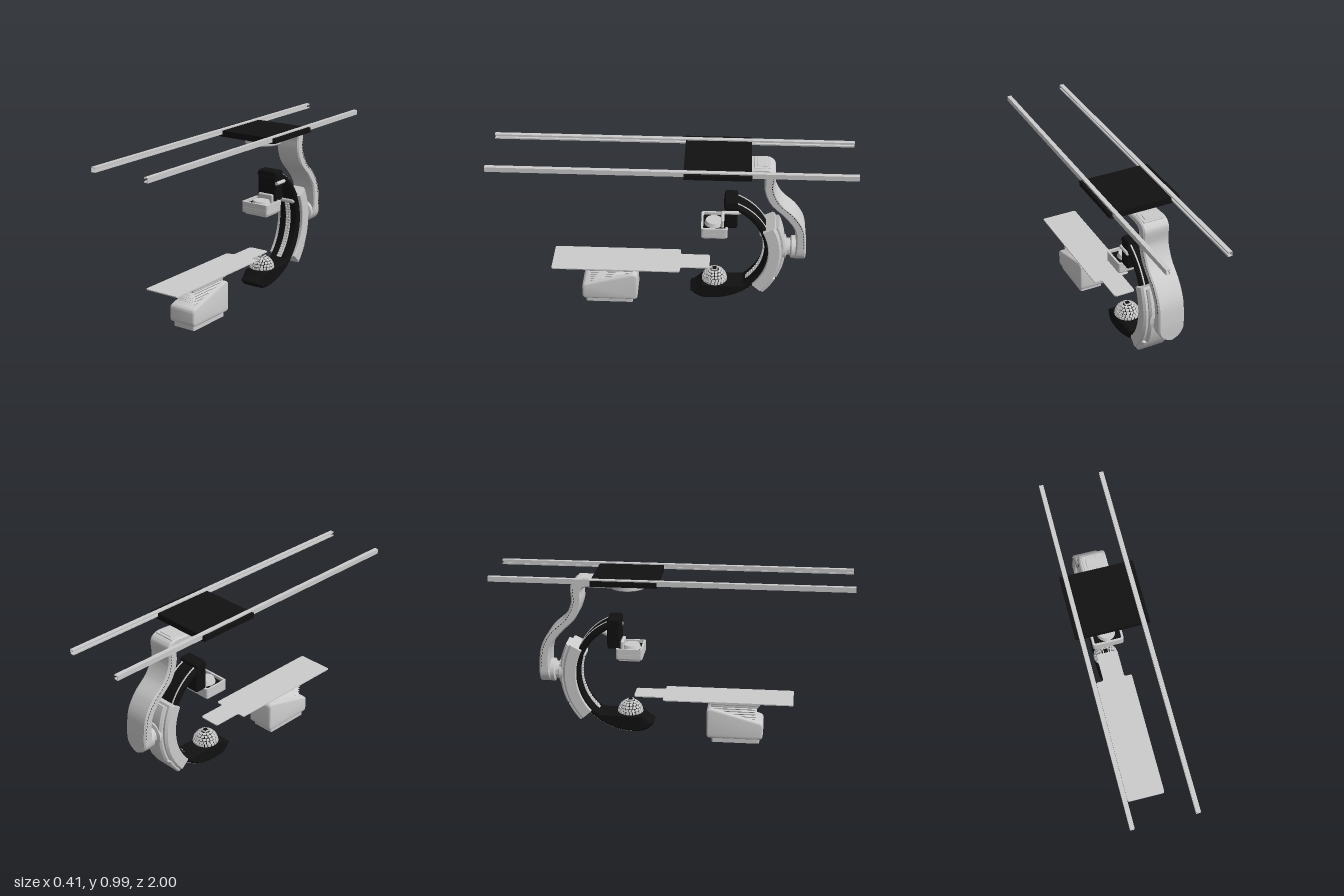
import * as THREE from 'three';
import { toCreasedNormals } from 'three/addons/utils/BufferGeometryUtils.js';
import { RoundedBoxGeometry } from 'three/addons/geometries/RoundedBoxGeometry.js';

const grey = new THREE.MeshStandardMaterial({ color: 0xcccccc });
const black = new THREE.MeshStandardMaterial({ color: 0x111111 });
const V2 = (a) => new THREE.Vector2(a[0], a[1]);

function add(parent, name, geo, mat = grey, x = 0, y = 0, z = 0) {
  const m = new THREE.Mesh(geo, mat);
  m.name = name;
  m.position.set(x, y, z);
  parent.add(m);
  return m;
}
const box = (w, h, d, r = 0) => r ? new RoundedBoxGeometry(w, h, d, 3, r) : new THREE.BoxGeometry(w, h, d);
const cyl = (r1, r2, h) => new THREE.CylinderGeometry(r1, r2, h, 40);

// Rounded rectangle in plan, centred on the origin
function roundRect(w, d, r, T = THREE.Shape) {
  const s = new T(), a = w / 2, b = d / 2;
  s.moveTo(-a + r, -b);
  s.lineTo(a - r, -b).quadraticCurveTo(a, -b, a, -b + r);
  s.lineTo(a, b - r).quadraticCurveTo(a, b, a - r, b);
  s.lineTo(-a + r, b).quadraticCurveTo(-a, b, -a, b - r);
  s.lineTo(-a, -b + r).quadraticCurveTo(-a, -b, -a + r, -b);
  return s;
}
// Plan shape (x, -z) raised along y
const plan = (shape, h) => new THREE.ExtrudeGeometry(shape, { depth: h, bevelEnabled: false, curveSegments: 8 }).rotateX(-Math.PI / 2);

// Chamfered band along rows of [outer z, outer y, inner z, inner y, half width]
function ribbon(rows, chamfer) {
  const pos = [], idx = [], N = 8;
  for (const [zo, yo, zi, yi, w] of rows) {
    const L = Math.hypot(zi - zo, yi - yo), c = Math.min(chamfer, L / 3, w / 3);
    const ring = [[w - c, 0], [w, c], [w, L - c], [w - c, L], [c - w, L], [-w, L - c], [-w, c], [c - w, 0]];
    for (const [x, s] of ring) pos.push(x, yo + (yi - yo) * s / L, zo + (zi - zo) * s / L);
  }
  const last = (rows.length - 1) * N;
  for (let i = 0; i < last; i += N) for (let j = 0; j < N; j++) {
    const k = (j + 1) % N;
    idx.push(i + j, i + k, i + N + k, i + j, i + N + k, i + N + j);
  }
  for (let j = 1; j < N - 1; j++) idx.push(0, j + 1, j, last, last + j, last + j + 1);
  const g = new THREE.BufferGeometry();
  g.setAttribute('position', new THREE.Float32BufferAttribute(pos, 3));
  g.setIndex(idx);
  return toCreasedNormals(g, 0.5);
}

// Position on the C ring; angle in degrees above the rear direction
const CZ = -0.22, CY = 0.385;
const onRing = (r, deg) => {
  const a = deg * Math.PI / 180;
  return [CZ - r * Math.cos(a), CY + r * Math.sin(a)];
};
function arcBand(a0, a1, ro, ri, w, chamfer, steps = 48) {
  const rows = [];
  for (let i = 0; i <= steps; i++) {
    const d = a0 + (a1 - a0) * i / steps, f = (v) => typeof v === 'function' ? v(d) : v;
    rows.push([...onRing(f(ro), d), ...onRing(f(ri), d), f(w)]);
  }
  return ribbon(rows, chamfer);
}

function ceilingMount(g) {
  // C-section rails, open towards the middle
  for (const s of [-1, 1]) {
    const rail = new THREE.Group();
    rail.name = 'ceilingRail';
    add(rail, 'railWeb', box(0.004, 0.028, 2), grey, s * 0.182, 0.971);
    for (const y of [0.959, 0.983]) add(rail, 'railFlange', box(0.024, 0.004, 2), grey, s * 0.172, y);
    for (const y of [0.963, 0.979]) add(rail, 'railLip', box(0.003, 0.006, 2), grey, s * 0.1615, y);
    g.add(rail);
  }
  // Slotted carriage
  const half = [[0.16, 0.945], [0.205, 0.952], [0.205, 0.98], [0.188, 0.98], [0.188, 0.956], [0.156, 0.956], [0.156, 0.98]];
  const pts = [...half, ...half.slice().reverse().map(([x, y]) => [-x, y])].map(V2);
  add(g, 'carriage', new THREE.ExtrudeGeometry(new THREE.Shape(pts), { depth: 0.365, bevelEnabled: false }), black, 0, 0, -0.432);
  // Swivel disc
  const disc = [[0, 0], [0.097, 0], [0.105, 0.006], [0.105, 0.036], [0.099, 0.042], [0.07, 0.042], [0.07, 0.055], [0, 0.055]].map(V2);
  add(g, 'swivelDisc', toCreasedNormals(new THREE.LatheGeometry(disc, 48), 0.5), grey, 0, 0.895, -0.25);
  add(g, 'swivelCap', cyl(0.065, 0.065, 0.006), grey, 0, 0.893, -0.25);
}

function supportArm(g) {
  const curve = (a) => new THREE.CatmullRomCurve3(a.map(([z, y]) => new THREE.Vector3(0, y, z)));
  const outer = curve([[-0.27, 0.942], [-0.42, 0.942], [-0.53, 0.942], [-0.563, 0.915], [-0.565, 0.81], [-0.607, 0.72], [-0.69, 0.64], [-0.74, 0.556], [-0.757, 0.44], [-0.757, 0.32]]);
  const inner = curve([[-0.27, 0.903], [-0.42, 0.903], [-0.485, 0.903], [-0.505, 0.885], [-0.507, 0.81], [-0.542, 0.72], [-0.633, 0.625], [-0.687, 0.545], [-0.7, 0.44], [-0.692, 0.32]]);
  const rows = [], n = 126;
  for (let i = 0; i <= n; i++) {
    const o = outer.getPoint(i / n), p = inner.getPoint(i / n);
    const drop = Math.max(0, 0.395 - o.y); // rounded lower end
    rows.push([o.z, o.y, p.z, p.y, Math.max(0.012, Math.sqrt(Math.max(0, 0.075 ** 2 - drop ** 2)))]);
  }
  add(g, 'supportArm', ribbon(rows, 0.008));
  // Dashed seam on both sides
  for (let i = 0; i < 30; i++) {
    const t = 0.36 + i * 0.0185, p = outer.getPoint(t).lerp(inner.getPoint(t), 0.25), q = outer.getTangent(t);
    for (const x of [-0.075, 0.075]) {
      add(g, 'seamDash', box(0.001, 0.003, 0.01), black, x, p.y, p.z).rotation.x = -Math.atan2(q.y, q.z);
    }
  }
  add(g, 'armCover', box(0.12, 0.008, 0.09, 0.003), grey, 0, 0.944, -0.49);
  add(g, 'armCoverCap', box(0.085, 0.008, 0.06, 0.003), grey, 0, 0.948, -0.49);
  // Pivot between the arm and the ring carrier
  const pivot = [[0, 0], [0.07, 0], [0.07, 0.02], [0.05, 0.026], [0.05, 0.045], [0.066, 0.052], [0.066, 0.08], [0, 0.08]].map(V2);
  add(g, 'pivot', toCreasedNormals(new THREE.LatheGeometry(pivot, 40), 0.5).rotateX(-Math.PI / 2), grey, 0, 0.385, -0.625);
}

function ringArm(g) {
  // Dark C-shaped arm swelling into a scoop at the foot
  const ro = (d) => d < -95 ? 0.345 - 0.027 * ((-95 - d) / 16) ** 2 : 0.345;
  const ri = (d) => {
    if (d > -45) return 0.305;
    const flat = Math.min(0.305, 0.24 / Math.abs(Math.sin(d * Math.PI / 180)));
    return d < -101 ? 0.245 + 0.066 * (-101 - d) / 10 : flat;
  };
  const w = (d) => d < -95 ? 0.066 - 0.014 * ((-95 - d) / 16) ** 2 : 0.066;
  add(g, 'cArm', arcBand(77, -111, ro, ri, w, 0.012, 94), black);
  for (const x of [-0.045, 0.045]) add(g, 'cArmTrack', arcBand(74, -92, 0.349, 0.34, 0.004, 0.001, 70), grey, x);
  // Carrier gripping the ring
  add(g, 'ringCarrier', arcBand(27, -42, 0.4, 0.343, 0.09, 0.012));
  for (const x of [-0.079, 0.079]) add(g, 'carrierCheek', arcBand(27, -42, 0.36, 0.325, 0.011, 0.004), grey, x);
  add(g, 'carrierPad', arcBand(25, -25, 0.422, 0.39, 0.066, 0.012));
  add(g, 'carrierLip', arcBand(-26, -42, 0.415, 0.39, 0.08, 0.008));
  // Inner belt with two rows of links
  add(g, 'belt', arcBand(22, -48, 0.308, 0.302, 0.016, 0.001));
  for (let d = 20; d >= -47; d -= 3.2) {
    const [z, y] = onRing(0.3, d);
    for (const x of [-0.008, 0.008]) add(g, 'beltLink', box(0.012, 0.012, 0.008, 0.003), grey, x, y, z).rotation.x = d * Math.PI / 180;
  }
  const [rz, ry] = onRing(0.308, 21);
  add(g, 'beltRoller', new THREE.CapsuleGeometry(0.015, 0.08, 6, 16).rotateZ(Math.PI / 2), grey, 0, ry, rz);
}

function detector(g) {
  add(g, 'headBlock', box(0.13, 0.178, 0.074, 0.012), black, 0, 0.633, -0.329);
  add(g, 'headRod', cyl(0.011, 0.011, 0.08).rotateX(Math.PI / 2), grey, 0.066, 0.653, -0.332);
  add(g, 'headStub', cyl(0.018, 0.022, 0.05).rotateX(Math.PI / 2 + 0.5), grey, 0, 0.625, -0.385);
  add(g, 'headBracket', box(0.1, 0.055, 0.02, 0.008), grey, 0, 0.56, -0.283);
  // Open tray with a low round cover
  const rim = roundRect(0.18, 0.15, 0.014);
  rim.holes.push(roundRect(0.156, 0.126, 0.008, THREE.Path));
  add(g, 'detectorRim', plan(rim, 0.032), grey, 0, 0.521, -0.238);
  add(g, 'detectorBody', box(0.18, 0.044, 0.15, 0.012), grey, 0, 0.508, -0.238);
  add(g, 'detectorFace', box(0.15, 0.01, 0.12, 0.004), grey, 0, 0.482, -0.238);
  add(g, 'trayFloor', box(0.158, 0.004, 0.128), black, 0, 0.534, -0.238);
  add(g, 'trayCover', cyl(0.046, 0.055, 0.024), grey, 0, 0.546, -0.235);
}

function emitter(g) {
  // Dome covered in a grid of small blocks
  const dome = new THREE.Group();
  dome.name = 'emitterDome';
  dome.position.set(0, 0.143, -0.245);
  add(dome, 'domeCore', new THREE.SphereGeometry(0.068, 32, 12, 0, Math.PI * 2, 0, Math.PI / 2), black);
  for (let r = 0; r < 5; r++) {
    const e = (7 + r * 14) * Math.PI / 180, n = Math.round(22 * Math.cos(e));
    for (let i = 0; i < n; i++) {
      const pivot = new THREE.Group();
      pivot.rotation.set(-e, i / n * Math.PI * 2, 0, 'YXZ');
      add(pivot, 'domeBlock', box(0.0155, 0.0145, 0.01), grey, 0, 0, 0.068);
      dome.add(pivot);
    }
  }
  add(dome, 'domeCap', box(0.036, 0.008, 0.036), grey, 0, 0.071, 0);
  add(dome, 'domeWindow', box(0.024, 0.002, 0.024), black, 0, 0.0755, 0);
  g.add(dome);
}

function patientTable(g) {
  // Thin top with a narrow head end
  const s = new THREE.Shape();
  s.moveTo(-0.098, -0.692);
  s.lineTo(0.098, -0.692).quadraticCurveTo(0.108, -0.692, 0.108, -0.68);
  s.lineTo(0.108, 0.035).quadraticCurveTo(0.108, 0.046, 0.096, 0.046);
  s.lineTo(0.072, 0.046).quadraticCurveTo(0.063, 0.05, 0.063, 0.06);
  s.lineTo(0.063, 0.2).quadraticCurveTo(0.063, 0.216, 0.048, 0.216);
  s.lineTo(-0.048, 0.216).quadraticCurveTo(-0.063, 0.216, -0.063, 0.2);
  s.lineTo(-0.063, 0.06).quadraticCurveTo(-0.063, 0.05, -0.072, 0.046);
  s.lineTo(-0.096, 0.046).quadraticCurveTo(-0.108, 0.046, -0.108, 0.035);
  s.lineTo(-0.108, -0.68).quadraticCurveTo(-0.108, -0.692, -0.098, -0.692);
  add(g, 'tableTop', plan(s, 0.006), grey, 0, 0.257);
  add(g, 'tableUnderside', box(0.17, 0.012, 0.37, 0.005), grey, 0, 0.252, 0.27);
  add(g, 'tableSlide', box(0.15, 0.018, 0.29, 0.006), grey, 0, 0.24, 0.36);
  add(g, 'lifterPlate', box(0.125, 0.022, 0.27, 0.006), grey, 0, 0.224, 0.36);
  // Bellows
  for (let i = 0; i < 6; i++) {
    const y = 0.132 + i * 0.015, d = 0.23 + i * 0.003;
    const fold = new THREE.CylinderGeometry(0.62, 0.707, 0.0075, 4, 1).rotateY(Math.PI / 4);
    const low = fold.clone().rotateZ(Math.PI);
    for (const [geo, dy] of [[fold, 0.00375], [low, -0.00375]]) {
      add(g, 'bellowsFold', geo.scale(0.125, 1, d), grey, 0, y + dy, 0.365);
    }
  }
  // Wedge-shaped base, profile in (z, y)
  const prof = new THREE.Shape();
  prof.moveTo(0.222, 0.038);
  prof.lineTo(0.5, 0.038).quadraticCurveTo(0.513, 0.038, 0.513, 0.052);
  prof.lineTo(0.513, 0.105).quadraticCurveTo(0.513, 0.118, 0.5, 0.121);
  prof.lineTo(0.25, 0.192).quadraticCurveTo(0.212, 0.203, 0.212, 0.185);
  prof.lineTo(0.212, 0.052).quadraticCurveTo(0.212, 0.038, 0.222, 0.038);
  const body = new THREE.ExtrudeGeometry(prof, { depth: 0.144, bevelThickness: 0.011, bevelSize: 0.011, bevelSegments: 3, curveSegments: 6 });
  body.translate(0, 0, -0.072).rotateY(-Math.PI / 2);
  add(g, 'tableBase', toCreasedNormals(body, 0.6));
  add(g, 'tableFoot', plan(roundRect(0.14, 0.275, 0.012), 0.032), grey, 0, 0, 0.367);
}

export function createModel() {
  const model = new THREE.Group();
  model.name = 'ceilingMountedImagingSystem';
  const parts = { ceilingMount, supportArm, ringArm, detector, emitter, patientTable };
  for (const [name, build] of Object.entries(parts)) {
    const g = new THREE.Group();
    g.name = name;
    build(g);
    model.add(g);
  }
  return model;
}
